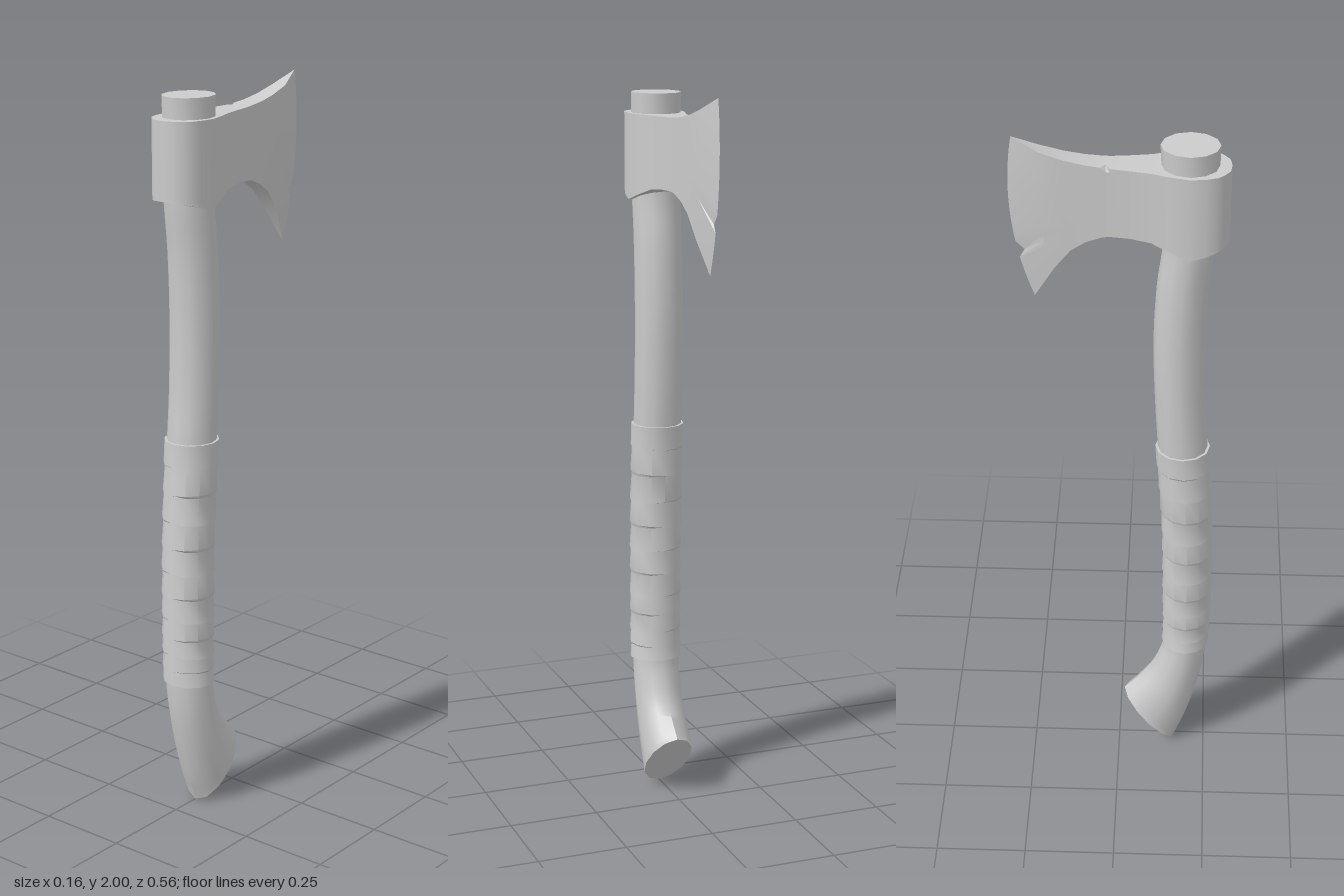
import * as THREE from 'three';
import { toCreasedNormals } from 'three/addons/utils/BufferGeometryUtils.js';

const { lerp } = THREE.MathUtils;
const SIDES = 12;

// Skin closed rings from top to bottom; each ring is front-to-back symmetric in order, so caps are strips.
function loft(rings, crease) {
  const n = rings[0].length;
  const last = rings.length - 1;
  const index = [];
  for (let i = 0; i < last; i++) {
    for (let j = 0; j < n; j++) {
      const k = (j + 1) % n;
      const a = i * n + j, b = (i + 1) * n + j, c = (i + 1) * n + k, d = i * n + k;
      index.push(a, b, c, a, c, d);
    }
  }
  for (let j = 0; j < n / 2; j++) {
    const p = j, q = j + 1, r = n - j - 1, s = (n - j) % n, o = last * n;
    if (q !== r) index.push(p, q, r);
    if (p !== s) index.push(p, r, s);
    if (q !== r) index.push(o + p, o + r, o + q);
    if (p !== s) index.push(o + p, o + s, o + r);
  }
  const geometry = new THREE.BufferGeometry();
  geometry.setAttribute('position', new THREE.Float32BufferAttribute(rings.flat(2), 3));
  geometry.setIndex(index);
  return toCreasedNormals(geometry, crease);
}

// Handle silhouette: front z, y and back z, y from the top down
const HANDLE = [
  [0.25, 1.985, 0.10, 1.985], [0.243, 1.72, 0.11, 1.72], [0.23, 1.58, 0.095, 1.58],
  [0.224, 1.4, 0.088, 1.4], [0.228, 1.2, 0.095, 1.2], [0.238, 1.07, 0.103, 1.07],
  [0.252, 0.8, 0.122, 0.8], [0.255, 0.55, 0.128, 0.55], [0.25, 0.38, 0.128, 0.38],
  [0.24, 0.28, 0.115, 0.33], [0.22, 0.18, 0.09, 0.27], [0.194, 0.085, 0.052, 0.22],
  [0.165, 0.003, 0.015, 0.18],
];
const frontCurve = new THREE.CatmullRomCurve3(HANDLE.map(([z, y]) => new THREE.Vector3(0, y, z)));
const backCurve = new THREE.CatmullRomCurve3(HANDLE.map(([, , z, y]) => new THREE.Vector3(0, y, z)));

// Elliptical ring at a fraction t of the handle
function handleRing(t, scale = 1, tilt = 0) {
  const f = frontCurve.getPoint(t), b = backCurve.getPoint(t);
  const centre = f.clone().add(b).multiplyScalar(0.5);
  const axis = f.sub(b).multiplyScalar(0.5 * scale);
  return Array.from({ length: SIDES }, (_, j) => {
    const a = (j / SIDES) * Math.PI * 2;
    return [
      0.067 * scale * Math.sin(a),
      centre.y + axis.y * Math.cos(a) + tilt * Math.sin(a),
      centre.z + axis.z * Math.cos(a),
    ];
  });
}

function handleGeometry() {
  const rings = [];
  for (let i = 0; i <= 48; i++) rings.push(handleRing(i / 48));
  return loft(rings, 0.7);
}

// Overlapping grip bands, each flaring towards its lower edge
function gripGeometry() {
  const rings = [];
  const bands = 11, start = 5 / 12, end = 8 / 12;
  for (let i = 0; i < bands; i++) {
    const tilt = i === 0 || i === bands - 1 ? 0 : 0.004 * (i % 2 ? 1 : -1);
    const t0 = lerp(start, end, i / bands), t1 = lerp(start, end, (i + 1) / bands);
    rings.push(handleRing(t0, i === 0 ? 1.1 : 1.05, i === 0 ? 0 : tilt));
    rings.push(handleRing(t1 - 0.0005, 1.11, tilt));
  }
  return loft(rings, 0.6);
}

// Head stations: half width, top z, top y, bottom z, bottom y, outward bulge
const HEAD = [
  [0, 0.279, 1.93, 0.279, 1.724, 0], [0.03, 0.275, 1.93, 0.275, 1.723, 0],
  [0.052, 0.26, 1.93, 0.26, 1.72, 0], [0.066, 0.244, 1.93, 0.244, 1.716, 0],
  [0.075, 0.217, 1.93, 0.217, 1.708, 0], [0.08, 0.175, 1.93, 0.175, 1.698, 0],
  [0.067, 0.125, 1.93, 0.125, 1.717, 0], [0.051, 0.08, 1.93, 0.08, 1.733, 0],
  [0.041, 0.025, 1.931, 0.025, 1.739, 0], [0.034, -0.024, 1.932, -0.024, 1.739, 0],
  [0.033, -0.035, 1.933, -0.034, 1.738, 0], [0.032, -0.048, 1.934, -0.046, 1.735, 0],
  [0.029, -0.09, 1.939, -0.085, 1.72, 0], [0.026, -0.14, 1.949, -0.125, 1.692, 0.01],
  [0.021, -0.2, 1.967, -0.168, 1.635, 0.02], [0, -0.27, 2.0, -0.22, 1.541, 0.031],
];

function headGeometry() {
  const ROWS = 20, edge = HEAD.length - 1, nick = 10;
  const rings = [];
  for (let r = 0; r <= ROWS; r++) {
    const t = r / ROWS;
    const side = HEAD.map(([w, zt, yt, zb, yb, bulge], k) => {
      const chip = k === edge && r === 14 ? 0.018 : 0; // chip in the cutting edge
      return [w, lerp(yt, yb, t), lerp(zt, zb, t) - bulge * 4 * t * (1 - t) + chip];
    });
    const mirrored = side.slice(1, -1).map(([x, y, z], k) =>
      [r === 0 && k + 1 === nick ? -0.012 : -x, y, z]).reverse(); // nick in the top edge
    rings.push([...side, ...mirrored]);
  }
  return loft(rings, 0.5);
}

export function createModel() {
  const group = new THREE.Group();
  group.name = 'axe';
  const material = new THREE.MeshStandardMaterial({ color: 0xcccccc });
  const parts = { handle: handleGeometry(), gripWrap: gripGeometry(), axeHead: headGeometry() };
  for (const [name, geometry] of Object.entries(parts)) {
    const mesh = new THREE.Mesh(geometry, material);
    mesh.name = name;
    group.add(mesh);
  }
  return group;
}
